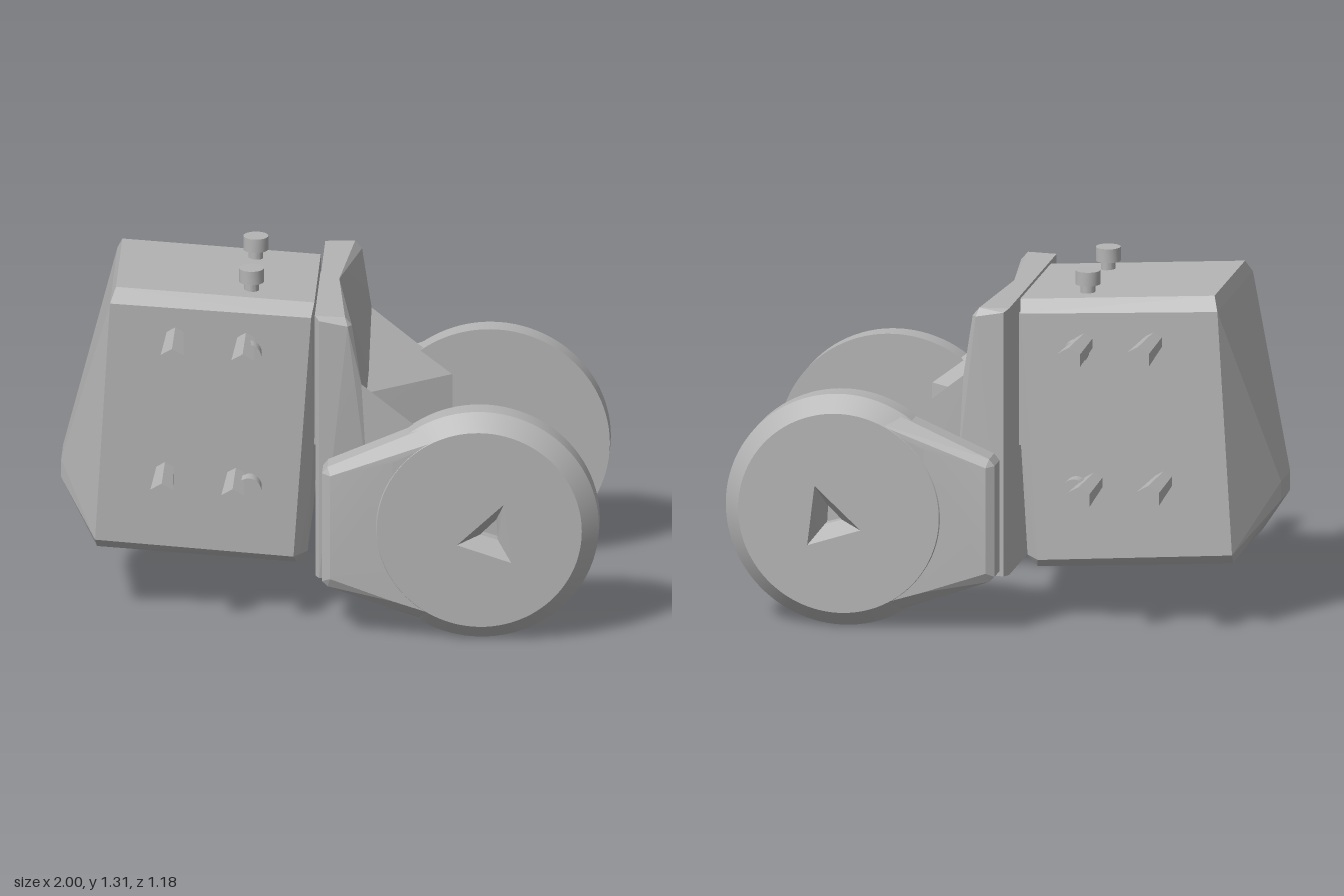
import * as THREE from 'three';
import { toCreasedNormals } from 'three/addons/utils/BufferGeometryUtils.js';
import { ConvexGeometry } from 'three/addons/geometries/ConvexGeometry.js';

const grey = new THREE.MeshStandardMaterial({ color: 0xb4b4b4 });
grey.name = 'plain grey';

export function createModel() {
  const model = new THREE.Group();
  model.name = 'wheeledUnit';

  const add = (name, geo, crease = 0.5) => {
    const flat = geo.index ? geo.toNonIndexed() : geo;
    const mesh = new THREE.Mesh(toCreasedNormals(flat, crease), grey);
    mesh.name = name;
    model.add(mesh);
  };

  // Mirror a geometry across z = 0, keeping its faces outward
  const mirrored = (geo) => {
    const g = geo.index ? geo.toNonIndexed() : geo.clone();
    const p = g.attributes.position, a = new THREE.Vector3(), b = new THREE.Vector3();
    for (let i = 0; i < p.count; i += 3) {
      p.setZ(i, -p.getZ(i));
      a.fromBufferAttribute(p, i + 1);
      b.fromBufferAttribute(p, i + 2);
      p.setXYZ(i + 1, b.x, b.y, -b.z);
      p.setXYZ(i + 2, a.x, a.y, -a.z);
    }
    return g;
  };
  const addPair = (name, geo, crease) => {
    add(name + 'Front', geo, crease);
    add(name + 'Back', mirrored(geo), crease);
  };
  const hull = (pts) => new ConvexGeometry(pts.map((p) => new THREE.Vector3(...p)));

  // Body: tilted chamfered block with a wedge-shaped end
  const half = [
    [-0.79, 1.26, 0.27], [-0.06, 1.21, 0.27],
    [-0.81, 1.21, 0.315], [-0.07, 1.165, 0.315],
    [-0.135, 0.235, 0.315], [-0.865, 0.29, 0.315],
    [-0.125, 0.2, 0.27], [-0.86, 0.25, 0.27],
    [-0.06, 0.7, 0.27], [-0.085, 0.24, 0.26],
    [-1, 0.52, 0.08], [-1, 0.45, 0.08],
  ];
  add('body', hull([...half, ...half.map(([x, y, z]) => [x, y, -z])]), 0.05);

  // Thin joint between body and bracket
  const joint = new THREE.BoxGeometry(0.06, 0.5, 0.5);
  joint.translate(-0.06, 0.9, 0);
  add('joint', joint);

  // Bolts on the top and on both sides
  const bolt = () => new THREE.LatheGeometry([
    [0, -0.08], [0.027, -0.08], [0.027, 0], [0.046, 0], [0.046, 0.052], [0, 0.052],
  ].map(([r, y]) => new THREE.Vector2(r, y)), 24);
  addPair('topBolt', bolt().translate(-0.295, 1.258, 0.18));
  for (const y of [1.05, 0.53]) {
    addPair('sideBolt', bolt().rotateX(Math.PI / 2).translate(-0.295, y, 0.375));
  }

  // Flared hexagonal rods
  for (const [x, y] of [[-0.57, 1.085], [-0.31, 1.068], [-0.608, 0.56], [-0.347, 0.542]]) {
    const rod = new THREE.CylinderGeometry(0.048, 0.035, 0.3, 6);
    addPair('rod', rod.rotateX(Math.PI / 2).translate(x, y, 0.44), 0.1);
  }

  // Bracket: two halves meeting in a shallow valley
  addPair('bracket', hull([
    [-0.05, 1.21, 0], [-0.05, 0.2, 0], [0.02, 1.21, 0], [0.035, 0.58, 0], [0, 0.2, 0],
    [-0.05, 1.21, 0.42], [-0.05, 0.2, 0.42], [-0.035, 1.2, 0.45], [-0.035, 0.2, 0.45],
    [0.06, 1.21, 0.43], [0.085, 1.18, 0.43], [0.07, 1.18, 0.45],
    [0.12, 0.95, 0.43], [0.14, 0.6, 0.43], [0.05, 0.2, 0.43],
  ]), 0.15);

  // Gussets carrying the wheels
  addPair('gusset', hull([
    [0.05, 0.95, 0.43], [0.12, 0.95, 0.43], [0.04, 0.75, 0.35],
    [0.1, 0.66, 0.3], [0.1, 0.5, 0.295], [0.06, 0.4, 0.33], [0.02, 0.2, 0.4],
    [0.22, 0.745, 0.425], [0.43, 0.7, 0.425], [0.43, 0.25, 0.425], [0.22, 0.16, 0.425],
  ]), 0.2);

  // Wheel arms: tapered plates running into the discs
  addPair('wheelArm', hull([
    [-0.02, 0.64, 0.45], [-0.02, 0.22, 0.45], [0, 0.665, 0.45], [0, 0.2, 0.45],
    [-0.02, 0.64, 0.54], [-0.02, 0.22, 0.54], [0, 0.665, 0.54], [0, 0.2, 0.54],
    [0.01, 0.635, 0.56], [0.01, 0.235, 0.56],
    [0.2, 0.735, 0.425], [0.2, 0.14, 0.425], [0.2, 0.735, 0.51], [0.2, 0.14, 0.51],
    [0.24, 0.695, 0.568], [0.24, 0.155, 0.568],
    [0.45, 0.85, 0.425], [0.45, 0.03, 0.425], [0.45, 0.85, 0.505], [0.45, 0.03, 0.505],
    [0.46, 0.8, 0.569], [0.46, 0.085, 0.569],
  ]), 0.15);

  // Wheel discs: chamfered outside, flat inside, with a small flared opening
  const shape = new THREE.Shape().absarc(0, 0, 0.437, 0, Math.PI * 2);
  const hole = new THREE.Path();
  hole.moveTo(0.06, 0.02).lineTo(0.065, -0.06).lineTo(0, -0.04).closePath();
  shape.holes.push(hole);
  const disc = new THREE.ExtrudeGeometry(shape, {
    depth: 0.065, curveSegments: 48, bevelThickness: 0.0425, bevelSize: 0.06,
    bevelOffset: -0.06, bevelSegments: 1,
  });
  const p = disc.attributes.position;
  for (let i = 0; i < p.count; i++) {
    const x = p.getX(i), y = p.getY(i), r = Math.hypot(x, y);
    if (r > 0.3 && p.getZ(i) < 0) p.setXY(i, x * 0.437 / r, y * 0.437 / r);
    // Shift the outer rim so the chamfer spans the outer 0.065
    if (p.getZ(i) > 0.01 && p.getZ(i) < 0.08) p.setZ(i, 0.0425);
  }
  addPair('wheelDisc', disc.translate(0.56, 0.438, 0.4625));

  return model;
}
